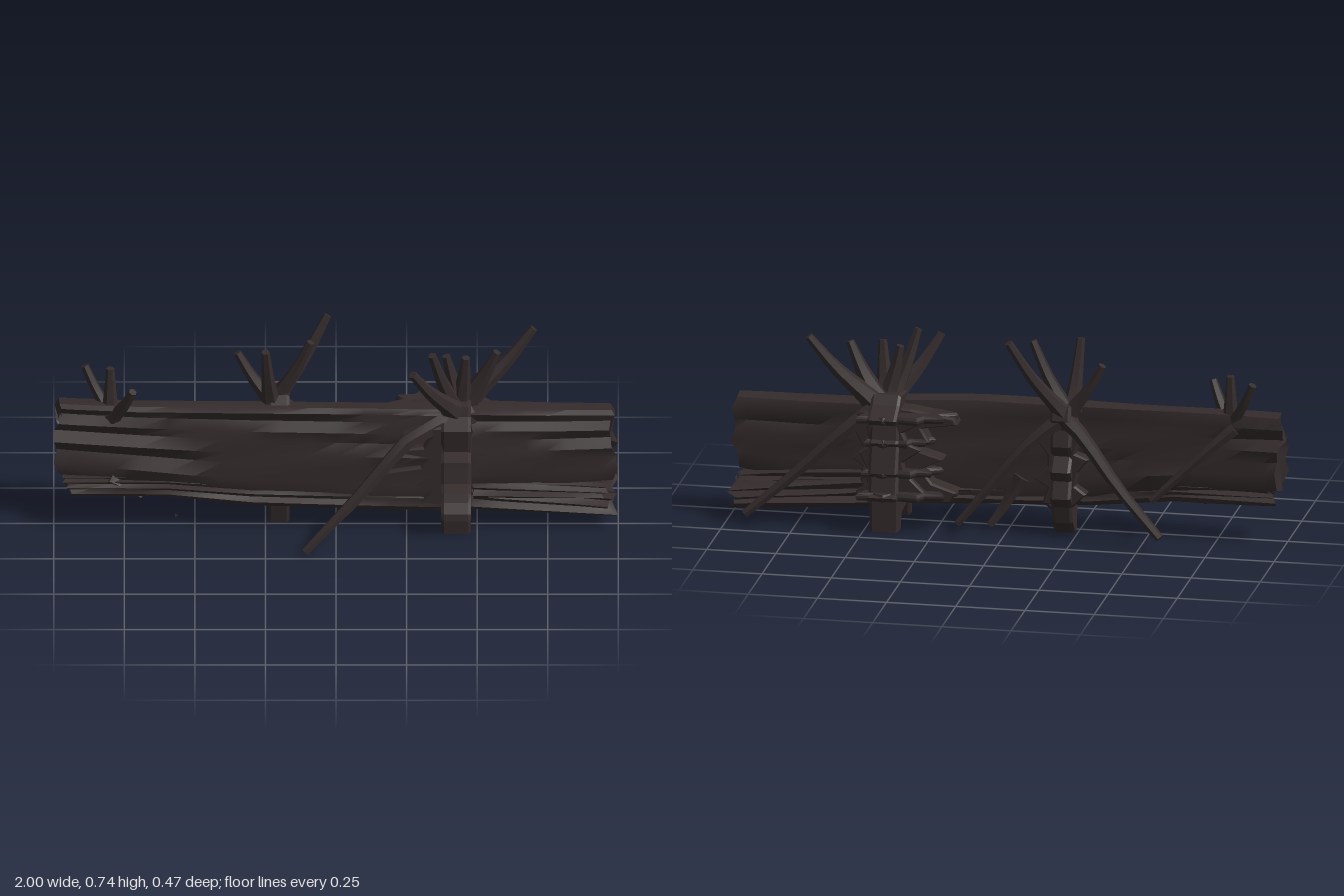
import * as THREE from 'three';
import { toCreasedNormals } from 'three/addons/utils/BufferGeometryUtils.js';

const bark = new THREE.MeshStandardMaterial({ color: 0x352c2c, side: THREE.DoubleSide });
bark.name = 'darkBark';

// repeatable uneven value in 0..1
const rough = (n) => { const s = Math.sin(n * 127.1 + 3.7) * 43758.5; return s - Math.floor(s); };

// skin a row of closed rings, closing each end towards a centre point
function loft(rings, recess = 0) {
  const n = rings[0].length, pos = [], idx = [];
  rings.forEach((r) => r.forEach((p) => pos.push(p.x, p.y, p.z)));
  for (let a = 0; a < rings.length - 1; a++) {
    for (let j = 0; j < n; j++) {
      const k = (j + 1) % n, A = a * n, B = A + n;
      idx.push(A + j, A + k, B + j, A + k, B + k, B + j);
    }
  }
  [0, rings.length - 1].forEach((a, end) => {
    const c = new THREE.Vector3();
    rings[a].forEach((p) => c.addScaledVector(p, 1 / n));
    c.x += end ? -recess : recess;
    const ci = pos.length / 3;
    pos.push(c.x, c.y, c.z);
    for (let j = 0; j < n; j++) {
      const k = (j + 1) % n;
      if (end) idx.push(ci, a * n + j, a * n + k);
      else idx.push(ci, a * n + k, a * n + j);
    }
  });
  const g = new THREE.BufferGeometry();
  g.setAttribute('position', new THREE.Float32BufferAttribute(pos, 3));
  g.setIndex(idx);
  return toCreasedNormals(g, 0.8);
}

// log section: [z, y] in 0..1, top -> front -> bottom -> back; third value marks a groove by its inward direction
const section = [[.6, 1, 0], [.76, .96, 0], [.74, .86, -1], [.84, .76, 0], [.84, .64, -1], [.95, .52, 0], [.92, .38, -1],
  [1, .22, 0], [.9, .03, -.5], [.5, 0, 0], [.12, .03, .5], [0, .25, 0], [.06, .4, 1], [.02, .55, 0], [.08, .68, 1],
  [.03, .85, 0], [.1, .98, 0]];

// stations: [x, bottom, top, back, front, groove depth]
function log(stations, seed, ragged = 0.035) {
  const rings = [], steps = 4, last = (stations.length - 1) * steps;
  for (let s = 0; s <= last; s++) {
    const i = Math.min(Math.floor(s / steps), stations.length - 2), t = s / steps - i;
    const [x, y0, y1, z0, z1, depth] = stations[i].map((v, k) => THREE.MathUtils.lerp(v, stations[i + 1][k], t));
    rings.push(section.map(([u, v, inward], j) => {
      const end = s === 0 ? 1 : s === last ? -1 : 0;
      const wave = 0.004 * Math.sin(x * 6 + j * 2.3 + seed);
      return new THREE.Vector3(x + end * ragged * rough(j + seed),
        y0 + (y1 - y0) * v + wave * 0.5, z0 + (z1 - z0) * u + wave + inward * depth);
    }));
  }
  return loft(rings, 0.015);
}

// tapering branch through a few points
function branch(points, r0, r1, sides = 6) {
  const curve = new THREE.CatmullRomCurve3(points.map((p) => new THREE.Vector3(...p)));
  const seg = 6, f = curve.computeFrenetFrames(seg), rings = [];
  for (let s = 0; s <= seg; s++) {
    const c = curve.getPointAt(s / seg), r = THREE.MathUtils.lerp(r0, r1, Math.pow(s / seg, 0.6)), ring = [];
    for (let j = 0; j < sides; j++) {
      const a = (j / sides) * Math.PI * 2;
      ring.push(c.clone().addScaledVector(f.normals[s], r * Math.cos(a)).addScaledVector(f.binormals[s], r * Math.sin(a)));
    }
    rings.push(ring);
  }
  return loft(rings);
}

// jagged slab from an outline, with a given thickness
function slab(outline, thickness) {
  return new THREE.ExtrudeGeometry(new THREE.Shape(outline.map((p) => new THREE.Vector2(...p))),
    { depth: thickness - 0.02, bevelEnabled: true, bevelThickness: 0.01, bevelSize: 0.006, bevelOffset: -0.006, bevelSegments: 1 });
}
// outline in [z, y], thick along x
const sidePlate = (outline, x0, x1) => slab(outline, x1 - x0).rotateY(-Math.PI / 2).translate(x1 - 0.01, 0, 0);
// outline in [x, y], thick along z
const flake = (outline, z0, z1) => slab(outline, z1 - z0).translate(0, 0, z0 + 0.01);
// outline in [x, z], thick along y
const ledge = (outline, y0, y1) => slab(outline, y1 - y0).rotateX(Math.PI / 2).translate(0, y1 - 0.01, 0);

export function createModel() {
  const group = new THREE.Group();
  const add = (name, geometry) => {
    const m = new THREE.Mesh(geometry, bark);
    m.name = name;
    group.add(m);
  };

  // wall logs
  add('longUpperLog', log([[-1, .2, .482, -.085, .025, .018], [-.7, .18, .48, -.068, .045, .014],
    [-.3, .13, .482, -.06, .052, .01], [.1, .11, .478, -.06, .052, .008], [.485, .1, .465, -.08, .05, .006]], 1));
  add('longLowerLog', log([[-.97, .14, .21, -.05, .055, .004], [-.6, .138, .21, -.05, .055, .004],
    [-.3, .1, .2, -.05, .055, .004], [.1, .085, .19, -.05, .055, .004], [.485, .075, .18, -.07, .055, .004]], 5));
  add('shortUpperLog', log([[.45, .15, .46, -.11, .035, .004], [.75, .16, .452, -.105, .025, .006],
    [1, .175, .45, -.1, .018, .01]], 9));
  add('shortLowerLog', log([[.45, .075, .19, -.14, .045, .004], [1, .05, .135, -.165, .055, .006]], 14, 0.04));
  add('shortMiddlePlank', log([[.45, .12, .22, -.12, .045, .004], [.98, .12, .175, -.12, .045, .006]], 19, 0.05));

  // large bark-covered post
  add('mainPost', sidePlate([[.045, .003], [.075, .003], [.08, .078], [.11, .075], [.105, .1], [.06, .13], [.07, .17],
    [.145, .17], [.13, .2], [.08, .21], [.065, .28], [.115, .29], [.11, .315], [.06, .33], [.075, .42], [.02, .45],
    [.01, .485], [-.13, .5], [-.16, .47], [-.225, .43], [-.21, .41], [-.16, .42], [-.175, .345], [-.19, .335],
    [-.17, .32], [-.2, .225], [-.18, .21], [-.195, .15], [-.23, .145], [-.22, .13], [-.17, .12], [-.175, .003],
    [-.13, .003], [-.11, .06], [.03, .07]], .372, .478));
  // torn bark sheets lapped over the front and back of the post
  add('frontBark', flake([[.48, .1], [.48, .43], [.3, .425], [.24, .4], [.34, .39], [.31, .345], [.2, .33], [.33, .3],
    [.3, .265], [.17, .24], [.32, .23], [.27, .19], [.34, .17], [.3, .12]], .02, .06));
  add('backBarkInner', flake([[.5, .1], [.52, .18], [.5, .22], [.55, .26], [.51, .3], [.54, .36], [.5, .4], [.5, .46],
    [.34, .45], [.18, .425], [.17, .4], [.3, .38], [.27, .33], [.32, .3], [.22, .27], [.3, .23], [.26, .18],
    [.17, .15], [.2, .11], [.32, .12]], -.135, -.05));
  add('backBarkOuter', flake([[.48, .1], [.53, .14], [.49, .18], [.49, .23], [.52, .29], [.48, .32], [.49, .38],
    [.47, .44], [.38, .43], [.3, .405], [.36, .37], [.34, .33], [.29, .31], [.36, .26], [.35, .22], [.28, .15],
    [.36, .12]], -.165, -.12));
  // stacked ragged ledges down the back: [height, reach]
  [[.425, 1], [.33, .7], [.22, .8], [.14, 1]].forEach(([y, reach], i) => {
    const outline = [[.4, -.05], [.5, -.09], [.53, -.15], [.5, -.17], [.52, -.215], [.46, -.205], [.42, -.228],
      [.39, -.195], [.3, -.205], [.28, -.17], [.21, -.16], [.23, -.13], [.17, -.1], [.24, -.06]];
    add('backBarkLedge' + i, ledge(outline.map(([x, z]) => [.44 + (x - .44) * reach, -.1 + (z + .1) * reach]),
      y - .014, y + .014));
  });

  // slimmer post behind the wall
  add('middlePost', sidePlate([[-.01, .003], [.01, .12], [-.02, .3], [0, .47], [-.05, .5], [-.12, .49], [-.135, .44],
    [-.11, .4], [-.125, .34], [-.1, .3], [-.14, .25], [-.11, .21], [-.135, .15], [-.1, .11], [-.09, .05],
    [-.05, .003]], -.24, -.165));
  add('middlePostBark', flake([[-.24, .11], [-.29, .16], [-.25, .19], [-.26, .24], [-.3, .29], [-.25, .31], [-.27, .38],
    [-.24, .47], [-.17, .47], [-.16, .38], [-.11, .35], [-.15, .3], [-.15, .26], [-.1, .21], [-.15, .18],
    [-.13, .12]], -.1, -.04));

  // upright spikes: [base], [tip], thickness
  const spikes = [
    [[-.8, .43, -.04], [-.89, .6, -.085], .026], [[-.8, .43, -.03], [-.8, .615, -.04], .036],
    [[-.79, .43, -.01], [-.72, .57, .05], .03],
    [[-.23, .46, -.08], [-.35, .645, -.1], .034], [[-.23, .46, -.06], [-.25, .71, .01], .038],
    [[-.22, .46, -.08], [-.09, .71, -.06], .034], [[-.21, .46, -.1], [-.03, .74, -.2], .034],
    [[.42, .46, -.01], [.27, .67, .1], .042], [[.42, .46, -.04], [.34, .705, .025], .038],
    [[.44, .46, -.06], [.39, .66, -.05], .046], [[.44, .46, -.06], [.46, .67, -.02], .046],
    [[.46, .46, -.08], [.57, .67, -.06], .05], [[.47, .46, -.1], [.7, .71, -.16], .046],
  ];
  spikes.forEach(([a, b, r], i) => {
    const mid = a.map((v, k) => v + (b[k] - v) * (k === 1 ? .5 : .57));
    add('spike' + i, branch([a, mid, b], r, .015));
  });

  // long fallen branches and roots
  add('frontBranch', branch([[.48, .43, -.04], [.28, .4, .06], [.1, .22, .14], [-.11, .015, .222]], .042, .016));
  add('backBranchRight', branch([[-.82, .43, -.07], [-.75, .37, -.09], [-.53, .16, -.12]], .026, .014));
  add('backBranchMiddle', branch([[-.2, .45, -.09], [-.28, .39, -.13], [-.42, .22, -.175], [-.58, .055, -.22]], .034, .016));
  add('backBranchInner', branch([[-.22, .45, -.09], [-.1, .36, -.13], [.16, .05, -.17]], .034, .014));
  add('backBranchLeft', branch([[.46, .45, -.11], [.58, .36, -.155], [.75, .2, -.18], [.92, .055, -.215]], .036, .016));
  add('rootSpike', branch([[-.05, .2, -.05], [.02, .08, -.07], [.06, .025, -.085]], .035, .014));
  add('lowerSplinter', branch([[-.8, .2, .01], [-.72, .15, .02], [-.69, .125, .02]], .04, .012, 4));

  // loose chip
  add('barkChip', new THREE.TetrahedronGeometry(.011).translate(-.565, .102, .115));
  return group;
}
